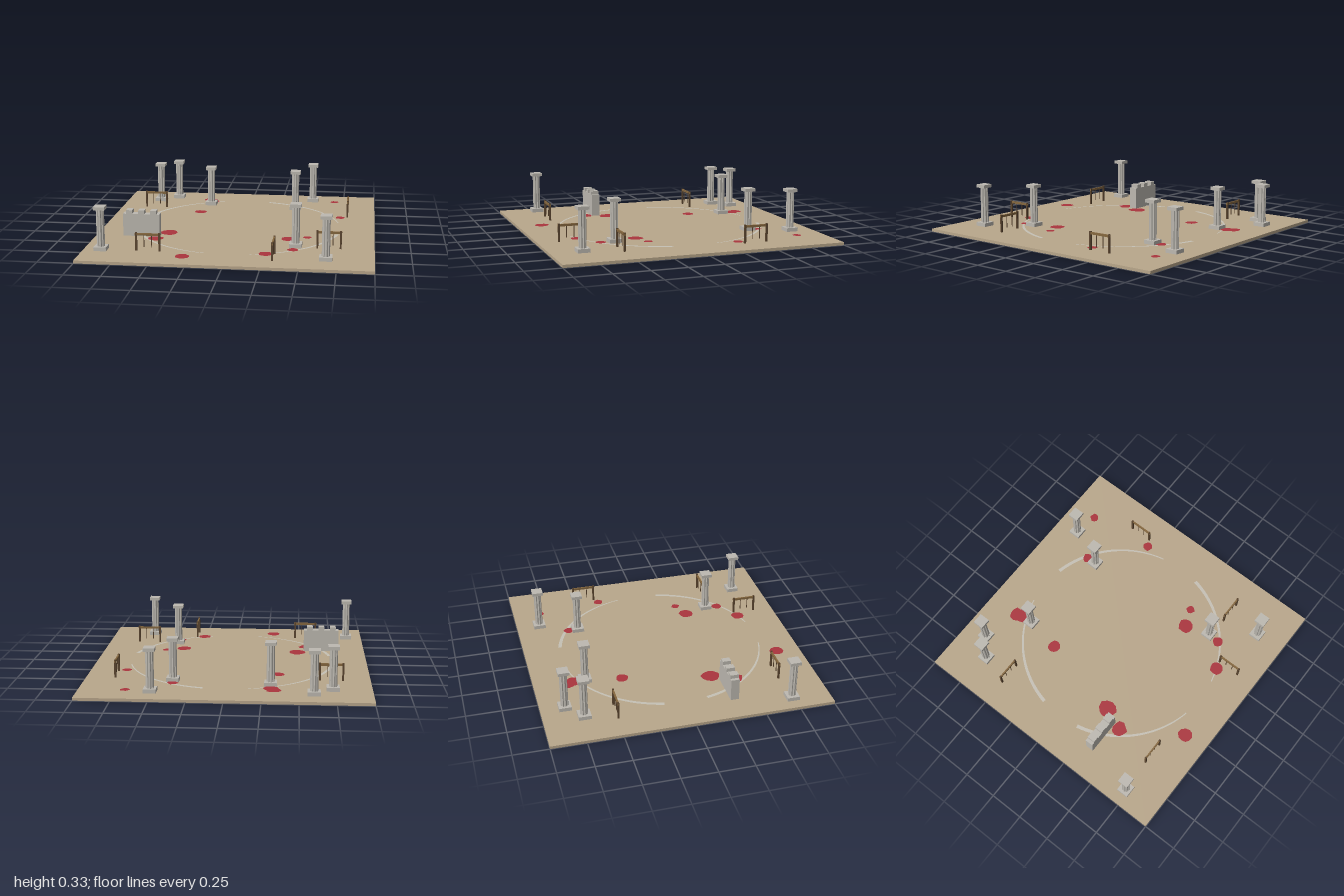
import * as THREE from 'three';

const mat = (name, color, side = THREE.FrontSide) => {
  const m = new THREE.MeshStandardMaterial({ color, side });
  m.name = name;
  return m;
};

const GROUND = 0.02; // height of the arena floor

export function createModel() {
  const root = new THREE.Group();
  root.name = 'ruinedArena';
  const sand = mat('sand', 0xb9a78b);
  const stone = mat('stone', 0xbdb9b1);
  const chalk = mat('chalk', 0xc6c1b6);
  const red = mat('red', 0xab353e);
  const wood = mat('wood', 0x86683f);
  const darkWood = mat('dark wood', 0x5c4630);

  const add = (parent, name, geo, material, x = 0, y = 0, z = 0) => {
    const m = new THREE.Mesh(geo, material);
    m.name = name;
    m.position.set(x, y, z);
    parent.add(m);
    return m;
  };
  const box = (parent, name, w, h, d, material, x, y, z) =>
    add(parent, name, new THREE.BoxGeometry(w, h, d), material, x, y + h / 2, z);

  // Floor slab
  box(root, 'floor', 2, GROUND, 2, sand, 0, 0, 0);

  // Four painted ring arcs, each tapering towards one end
  const ringArc = (from, to) => {
    const n = 24, outer = [], inner = [];
    for (let i = 0; i <= n; i++) {
      const t = i / n, a = from + (to - from) * t;
      const half = 0.013 - 0.009 * t;
      outer.push(new THREE.Vector2(Math.cos(a), Math.sin(a)).multiplyScalar(0.746 + half));
      inner.unshift(new THREE.Vector2(Math.cos(a), Math.sin(a)).multiplyScalar(0.746 - half));
    }
    const geo = new THREE.ShapeGeometry(new THREE.Shape([...outer, ...inner]));
    add(root, 'ringArc', geo.rotateX(-Math.PI / 2), chalk, 0, GROUND + 0.0015, 0);
  };
  const deg = Math.PI / 180;
  ringArc(168 * deg, 102 * deg);
  ringArc(78 * deg, 12 * deg);
  ringArc(-12 * deg, -78 * deg);
  ringArc(-168 * deg, -102 * deg);

  // Irregular flat red patches: x, z, radius
  let seed = 7;
  const rand = () => (seed = (seed * 16807) % 2147483647) / 2147483647;
  const patches = [
    [-0.327, -0.755, 0.054], [-0.308, -0.715, 0.053], [-0.353, -0.37, 0.045],
    [-0.49, 0.25, 0.068], [-0.556, 0.415, 0.057], [-0.294, 0.826, 0.054],
    [0.262, 0.7, 0.049], [0.39, 0.318, 0.056], [0.519, 0.265, 0.032],
    [0.439, 0.58, 0.038], [0.738, -0.318, 0.038], [0.374, -0.623, 0.038],
    [0.679, -0.8, 0.033],
  ];
  for (const [x, z, r] of patches) {
    const pts = [];
    for (let i = 0; i < 10; i++) {
      const a = (i / 10) * Math.PI * 2, k = r * (0.85 + 0.25 * rand());
      pts.push(new THREE.Vector2(Math.cos(a) * k, Math.sin(a) * k));
    }
    const geo = new THREE.ShapeGeometry(new THREE.Shape(pts)).rotateX(-Math.PI / 2);
    add(root, 'redPatch', geo, red, x, GROUND + 0.0025, z);
  }

  // Fluted columns on square bases
  const flutes = [];
  for (let i = 0; i < 32; i++) {
    const a = ((i + 0.5) / 32) * Math.PI * 2;
    const r = i % 4 < 2 ? 0.028 : 0.023;
    flutes.push(new THREE.Vector2(Math.cos(a) * r, Math.sin(a) * r));
  }
  const shaftGeo = new THREE.ExtrudeGeometry(new THREE.Shape(flutes), { depth: 0.26, bevelEnabled: false });
  shaftGeo.rotateX(-Math.PI / 2);
  const columns = [
    [-0.6, -0.83], [-0.73, -0.718], [-0.305, -0.63], [0.503, -0.83],
    [0.378, -0.553], [0.452, 0.49], [-0.877, 0.725], [0.674, 0.78],
  ];
  for (const [x, z] of columns) {
    const column = new THREE.Group();
    column.name = 'column';
    column.position.set(x, GROUND, z);
    box(column, 'columnBase', 0.088, 0.027, 0.088, stone, 0, 0, 0);
    add(column, 'columnShaft', shaftGeo, stone, 0, 0.027, 0);
    box(column, 'columnCapital', 0.078, 0.023, 0.078, stone, 0, 0.287, 0);
    root.add(column);
  }

  // Wall fragment with battlements
  const wall = new THREE.Group();
  wall.name = 'wallFragment';
  wall.position.set(-0.67, GROUND, 0.333);
  box(wall, 'wallBody', 0.266, 0.163, 0.06, stone, 0, 0, 0);
  for (const x of [-0.088, 0, 0.088])
    box(wall, 'battlement', 0.044, 0.027, 0.06, stone, x, 0.163, 0);
  root.add(wall);

  // Wooden racks with two hanging rods: x, z, turned
  const racks = [
    [-0.726, -0.497, false], [0.685, 0.516, false], [-0.55, 0.716, false],
    [0.793, -0.425, true], [0.32, 0.768, true],
  ];
  const rodGeo = new THREE.CylinderGeometry(0.003, 0.003, 0.085, 6);
  for (const [x, z, turned] of racks) {
    const rack = new THREE.Group();
    rack.name = 'rack';
    rack.position.set(x, GROUND, z);
    if (turned) rack.rotation.y = Math.PI / 2;
    for (const side of [-1, 1]) {
      box(rack, 'rackPost', 0.013, 0.128, 0.013, darkWood, side * 0.081, 0, 0);
      add(rack, 'hangingRod', rodGeo, darkWood, side * 0.027, 0.068, 0);
    }
    box(rack, 'rackRail', 0.178, 0.016, 0.011, wood, 0, 0.108, 0);
    root.add(rack);
  }

  return root;
}
